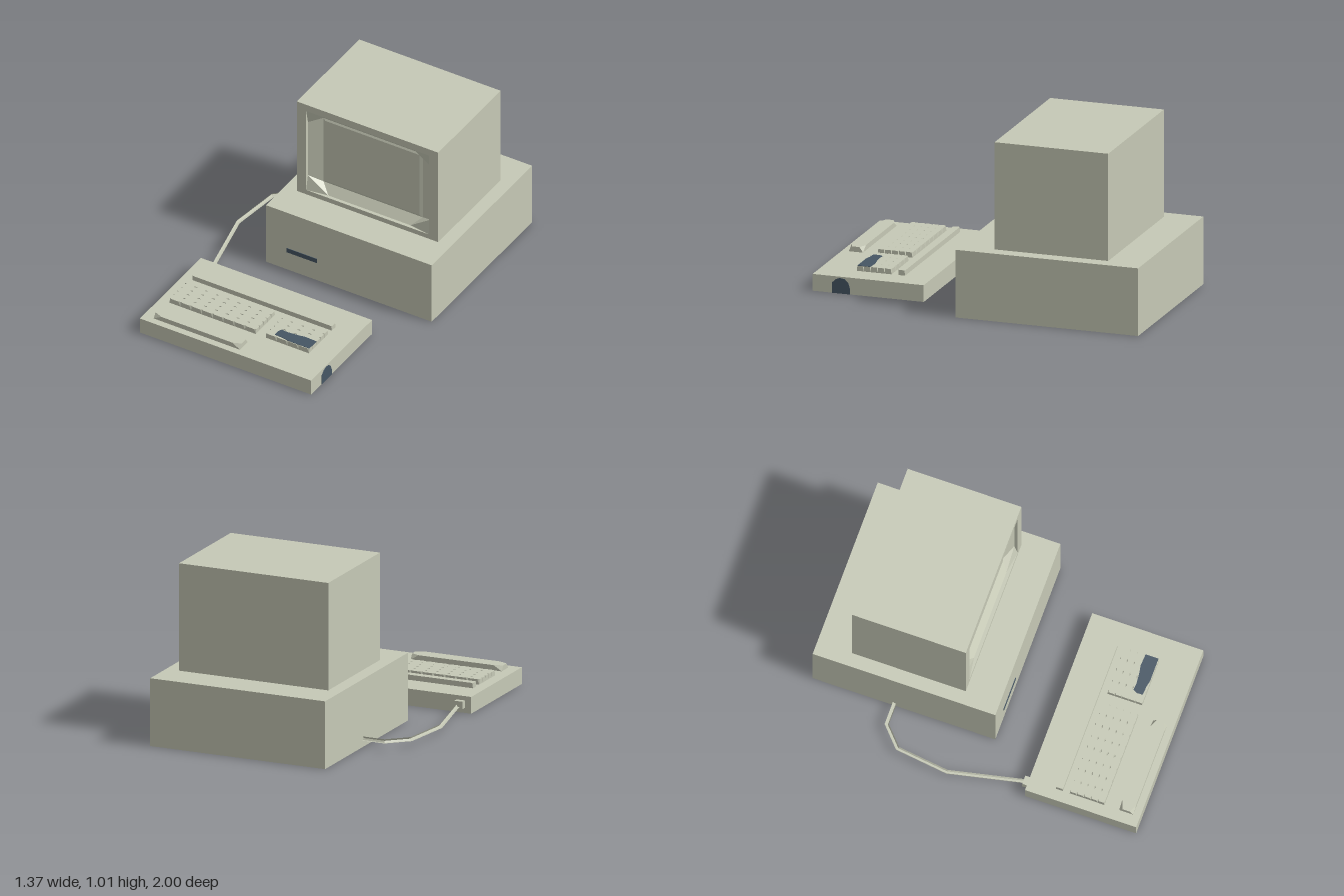
import * as THREE from 'three';

const beige = new THREE.MeshStandardMaterial({ color: 0xc6c9b6 });
beige.name = 'beige plastic';
const slate = new THREE.MeshStandardMaterial({ color: 0x465664 });
slate.name = 'slate';

// Counter-clockwise rectangle outline with cut corners (cx, cy = 0 for square corners)
function outline(x0, x1, y0, y1, cx = 0, cy = 0) {
  return [
    [x1, y0 + cy], [x1, y1 - cy], [x1 - cx, y1], [x0 + cx, y1],
    [x0, y1 - cy], [x0, y0 + cy], [x0 + cx, y0], [x1 - cx, y0],
  ];
}
const atZ = (loop, z) => loop.map(([x, y]) => [x, y, z]);
const atY = (loop, y) => loop.map(([x, v]) => [x, y, -v]);

// Faceted skin through a list of loops, with optional caps
function loft(loops, capStart, capEnd) {
  const pos = [];
  const same = (p, q) => p.every((v, i) => Math.abs(v - q[i]) < 1e-6);
  const tri = (a, b, c) => {
    if (!same(a, b) && !same(b, c) && !same(a, c)) pos.push(...a, ...b, ...c);
  };
  const n = loops[0].length;
  for (let k = 0; k + 1 < loops.length; k++) {
    for (let i = 0; i < n; i++) {
      const j = (i + 1) % n;
      tri(loops[k][i], loops[k][j], loops[k + 1][j]);
      tri(loops[k][i], loops[k + 1][j], loops[k + 1][i]);
    }
  }
  const first = loops[0], last = loops[loops.length - 1];
  for (let i = 1; i + 1 < n; i++) {
    if (capStart) tri(first[0], first[i + 1], first[i]);
    if (capEnd) tri(last[0], last[i], last[i + 1]);
  }
  const geo = new THREE.BufferGeometry();
  geo.setAttribute('position', new THREE.Float32BufferAttribute(pos, 3));
  geo.computeVertexNormals();
  return geo;
}

function add(parent, name, geo, material = beige) {
  const mesh = new THREE.Mesh(geo, material);
  mesh.name = name;
  parent.add(mesh);
  return mesh;
}

// Box given by its limits
function box(parent, name, x0, x1, y0, y1, z0, z1, material) {
  const mesh = add(parent, name, new THREE.BoxGeometry(x1 - x0, y1 - y0, z1 - z0), material);
  mesh.position.set((x0 + x1) / 2, (y0 + y1) / 2, (z0 + z1) / 2);
  return mesh;
}

// Key with clipped top corners
const DECK = 0.097, KEY_TOP = 0.127;
function key(parent, name, x0, x1, z0, z1, cx, cz) {
  add(parent, name, loft([
    atY(outline(x0, x1, -z1, -z0), DECK),
    atY(outline(x0, x1, -z1, -z0, cx, cz), KEY_TOP),
  ], false, true));
}

function keyBlock(parent, name, x0, z0, columns, rows) {
  const group = new THREE.Group();
  group.name = name;
  const w = 0.07, d = 0.041;
  for (let c = 0; c < columns; c++) {
    for (let r = 0; r < rows; r++) {
      key(group, 'key', x0 + c * w, x0 + (c + 1) * w, z0 + r * d, z0 + (r + 1) * d, 0.012, 0.005);
    }
  }
  parent.add(group);
}

function plate(points, depth) {
  const shape = new THREE.Shape(points.map(([x, y]) => new THREE.Vector2(x, y)));
  return new THREE.ExtrudeGeometry(shape, { depth, bevelEnabled: false });
}

export function createModel() {
  const model = new THREE.Group();
  model.name = 'desktopComputer';

  // System unit with its drive slot
  box(model, 'systemUnit', -0.39, 0.685, 0, 0.392, -1, 0.077);
  box(model, 'driveSlot', -0.255, -0.058, 0.12, 0.148, 0.076, 0.08, slate);

  // Monitor casing with a recessed, corner-cut bezel
  const monitor = new THREE.Group();
  monitor.name = 'monitor';
  model.add(monitor);
  const front = -0.125;
  const body = outline(-0.312, 0.605, 0.392, 1.013);
  const screen = outline(-0.175, 0.47, 0.475, 0.915);
  add(monitor, 'casing', loft([
    atZ(body, -0.795),
    atZ(body, front),
    atZ(outline(-0.252, 0.545, 0.422, 0.97), front),
    atZ(outline(-0.252, 0.545, 0.422, 0.97, 0.132, 0.09), front - 0.02),
    atZ(screen, front - 0.058),
  ], true, false));
  add(monitor, 'screen', loft([
    atZ(screen, front - 0.058),
    atZ(outline(-0.16, 0.452, 0.487, 0.903), front - 0.053),
  ], false, true));

  // Keyboard
  const keyboard = new THREE.Group();
  keyboard.name = 'keyboard';
  model.add(keyboard);
  box(keyboard, 'keyboardBase', -0.65, 0.46, 0, DECK, 0.345, 1);
  key(keyboard, 'functionRow', -0.585, 0.32, 0.505, 0.545, 0.006, 0.004);
  keyBlock(keyboard, 'mainKeys', -0.585, 0.585, 8, 5);
  keyBlock(keyboard, 'numberPad', 0.04, 0.585, 4, 5);
  key(keyboard, 'spaceBar', -0.585, -0.025, 0.877, 0.96, 0.05, 0.02);

  // Slate patch on the number pad
  const patch = plate([
    [0.09, -0.775], [0.14, -0.778], [0.18, -0.786], [0.32, -0.786], [0.32, -0.71],
    [0.25, -0.706], [0.2, -0.714], [0.14, -0.72], [0.1, -0.716], [0.088, -0.74],
  ], 0.002);
  patch.rotateX(-Math.PI / 2);
  add(keyboard, 'numberPadPatch', patch, slate).position.y = KEY_TOP;

  // Slate patch on the keyboard's side
  const sidePatch = plate([
    [-0.885, 0], [-0.78, 0], [-0.78, 0.035], [-0.79, 0.065], [-0.81, 0.085],
    [-0.84, 0.09], [-0.865, 0.08], [-0.885, 0.06],
  ], 0.002);
  sidePatch.rotateY(Math.PI / 2);
  add(keyboard, 'sidePatch', sidePatch, slate).position.x = 0.46;

  // Cable: hexagonal section mitred along a flat path
  const path = [[-0.38, -0.515], [-0.525, -0.515], [-0.64, -0.41], [-0.678, -0.105], [-0.585, 0.32]]
    .map(([x, z]) => new THREE.Vector2(x, z));
  const rings = path.map((p, i) => {
    const into = p.clone().sub(path[Math.max(i - 1, 0)]).normalize();
    const out = path[Math.min(i + 1, path.length - 1)].clone().sub(p).normalize();
    const dir = into.add(out).normalize();
    return Array.from({ length: 6 }, (_, k) => {
      const a = (k * Math.PI) / 3, s = 0.012 * Math.cos(a);
      return [p.x - dir.y * s, 0.05 + 0.012 * Math.sin(a), p.y + dir.x * s];
    });
  });
  add(model, 'cable', loft(rings, true, true));
  box(model, 'cablePlug', -0.612, -0.56, 0.03, 0.072, 0.315, 0.346);

  return model;
}
